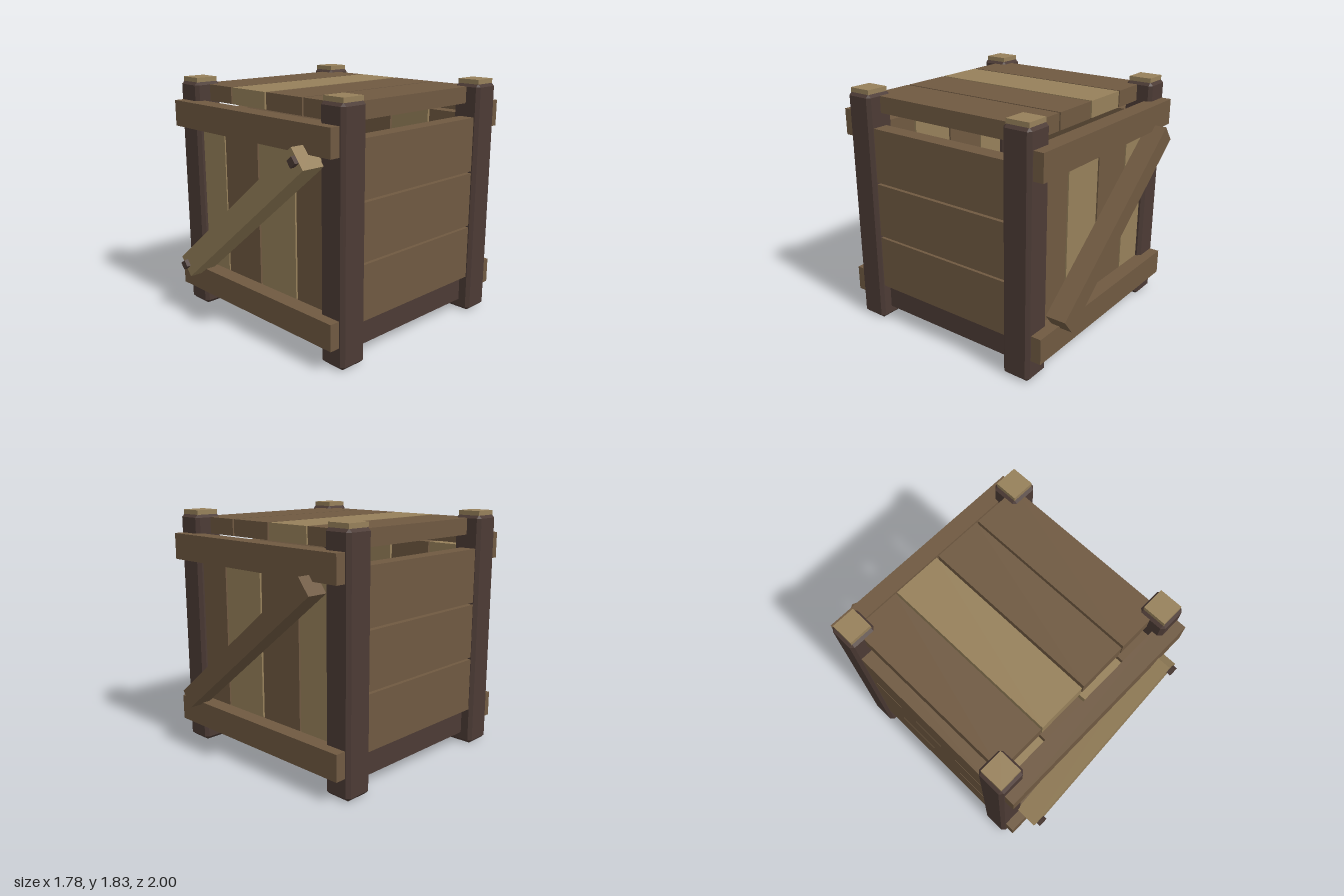
import * as THREE from 'three';
import { ConvexGeometry } from 'three/addons/geometries/ConvexGeometry.js';

const material = (name, color) => {
  const m = new THREE.MeshStandardMaterial({ color });
  m.name = name;
  return m;
};

// Box with every edge cut at 45 degrees
function chamferedBox(w, h, d, c) {
  const points = [];
  for (const x of [-1, 1]) for (const y of [-1, 1]) for (const z of [-1, 1]) {
    for (let axis = 0; axis < 3; axis++) {
      const inset = [c, c, c];
      inset[axis] = 0;
      points.push(new THREE.Vector3(
        x * (w / 2 - inset[0]), y * (h / 2 - inset[1]), z * (d / 2 - inset[2])));
    }
  }
  return new ConvexGeometry(points);
}

export function createModel() {
  const crate = new THREE.Group();
  crate.name = 'crate';
  const dark = material('dark frame wood', 0x4c3b35);
  const brown = material('brown wood', 0x6f5941);
  const light = material('light wood', 0x96805a);

  const add = (name, geometry, mat, x, y, z, turn = 0) => {
    const mesh = new THREE.Mesh(geometry, mat);
    mesh.name = name;
    mesh.position.set(x, y, z);
    mesh.rotation.z = turn;
    crate.add(mesh);
  };
  // Plain board given by its extents
  const board = (name, mat, x0, x1, y0, y1, z0, z1) => add(
    name, new THREE.BoxGeometry(x1 - x0, y1 - y0, z1 - z0), mat,
    (x0 + x1) / 2, (y0 + y1) / 2, (z0 + z1) / 2);

  // Corner posts with small caps
  const post = chamferedBox(0.22, 1.795, 0.22, 0.025);
  const cap = new THREE.BoxGeometry(0.178, 0.05, 0.178);
  for (const x of [-0.78, 0.78]) for (const z of [0.68, -0.72]) {
    add('cornerPost', post, dark, x, 0.8975, z);
    add('postCap', cap, light, x, 1.8, z);
  }

  // Floor slab
  board('floor', dark, -0.8, 0.8, 0.078, 0.285, -0.71, 0.665);

  // Four columns of planks on the front, back and lid
  const columns = [[-0.78, -0.402], [-0.388, -0.012], [0.006, 0.382], [0.398, 0.78]];
  columns.forEach(([x0, x1], i) => {
    const wall = i % 2 === 0 ? light : brown;
    board('frontPlank', wall, x0, x1, 0.285, 1.56, 0.62, 0.745);
    board('backPlank', wall, x0, x1, 0.285, 1.56, -0.79, -0.665);
    board('lidPlank', i === 1 ? light : brown, x0, x1, 1.648, 1.772, -0.71, 0.67);
  });

  // Three rows of planks on each side
  for (const [y0, y1] of [[0.285, 0.692], [0.708, 1.123], [1.139, 1.548]]) {
    board('leftPlank', brown, 0.735, 0.858, y0, y1, -0.7, 0.66);
    board('rightPlank', brown, -0.862, -0.735, y0, y1, -0.7, 0.66);
  }

  // Cross rails
  for (const [y0, y1] of [[0.165, 0.358], [1.455, 1.652]]) {
    board('frontRail', brown, -0.858, 0.856, y0, y1, 0.72, 0.866);
    board('backRail', brown, -0.858, 0.856, y0, y1, -0.908, -0.775);
  }

  // Diagonal braces
  const tilt = 0.679;
  add('frontBrace', new THREE.BoxGeometry(1.705, 0.173, 0.185), light, -0.002, 0.91, 0.875, tilt);
  add('backBrace', new THREE.BoxGeometry(1.69, 0.146, 0.155), brown, 0, 0.915, -0.9225, -0.667);

  // Square bolts on the front brace
  const bolt = new THREE.BoxGeometry(0.057, 0.057, 0.06);
  add('bolt', bolt, dark, 0.64, 1.425, 0.97, tilt);
  add('bolt', bolt, dark, -0.645, 0.402, 0.97, tilt);

  return crate;
}
